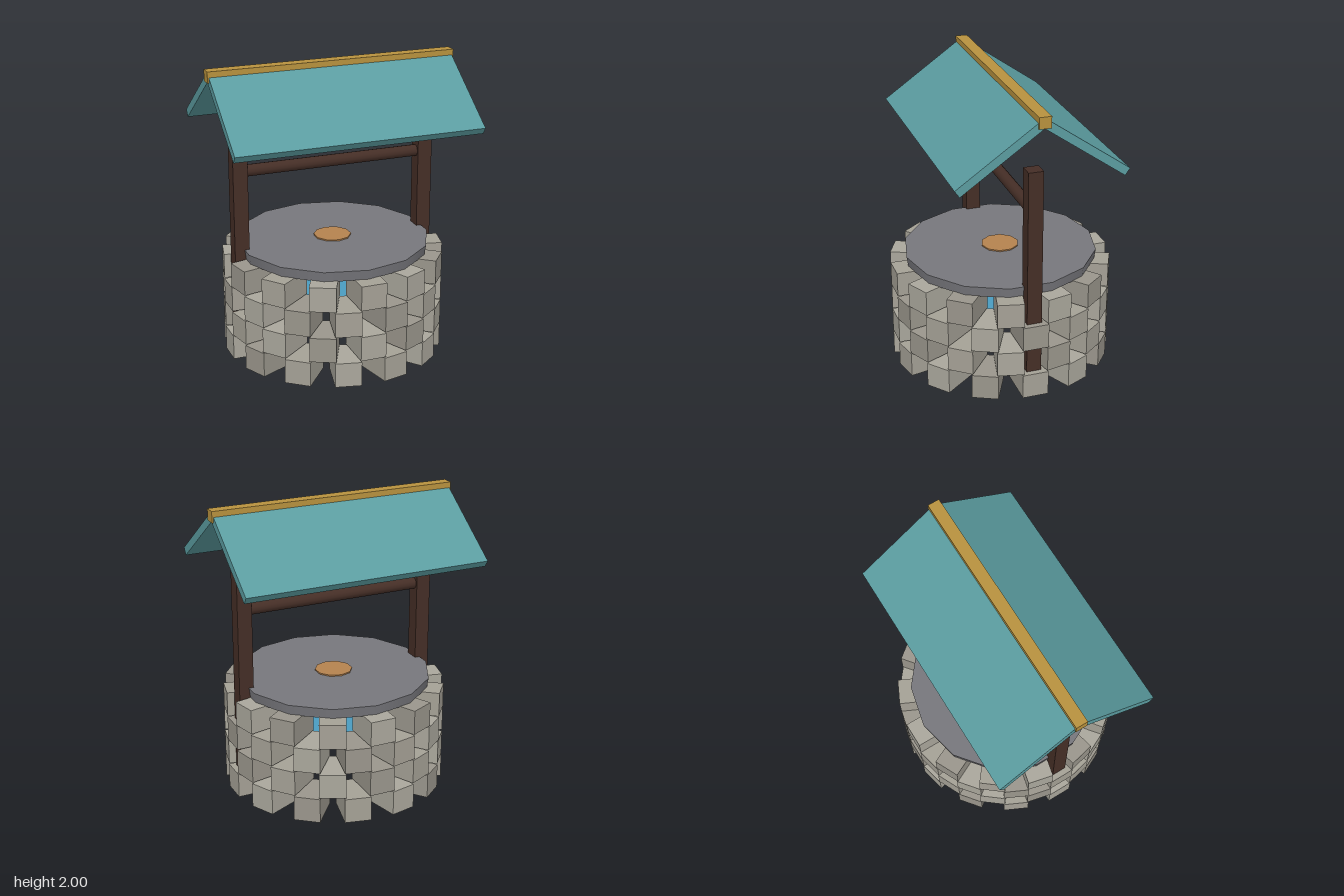
import * as THREE from 'three';

const mat = (color, extra = {}) => new THREE.MeshStandardMaterial({ color, ...extra });

export function createModel() {
  const well = new THREE.Group();
  well.name = 'well';

  const add = (name, geometry, material, x = 0, y = 0, z = 0, parent = well) => {
    const mesh = new THREE.Mesh(geometry, material);
    mesh.name = name;
    mesh.position.set(x, y, z);
    parent.add(mesh);
    return mesh;
  };

  // Stone wall: four rings of blocks, every other ring turned by half a block
  const COUNT = 14;
  const stoneGeo = new THREE.BoxGeometry(0.175, 0.168, 0.27);
  const stoneMats = [0xa5a196, 0x9a968c, 0xaaa79c].map((c) => mat(c));
  for (let row = 0; row < 4; row++) {
    const ring = new THREE.Group();
    ring.name = 'stoneRing' + (row + 1);
    well.add(ring);
    for (let i = 0; i < COUNT; i++) {
      const a = ((i + (row % 2 ? 0 : 0.5)) / COUNT) * Math.PI * 2;
      const stone = add('stone', stoneGeo, stoneMats[(i * 5 + row * 2) % 3],
        Math.sin(a) * 0.61, 0.094 + row * 0.177, Math.cos(a) * 0.61, ring);
      stone.rotation.y = a;
    }
  }

  // Water surface inside the wall
  add('water', new THREE.CylinderGeometry(0.54, 0.54, 0.018, 28), mat(0x4a9cc0), 0, 0.461, 0);

  // Lid resting on the wall, with a vertex towards the front
  add('lid', new THREE.CylinderGeometry(0.655, 0.645, 0.07, COUNT), mat(0x77777c), 0, 0.74, 0);

  // Bucket set into the middle of the lid
  add('bucket', new THREE.CylinderGeometry(0.127, 0.1, 0.165, 10), mat(0xb5834f), 0, 0.7025, 0);

  // Posts and the beam between them
  const wood = mat(0x452e26);
  const postGeo = new THREE.BoxGeometry(0.1, 1.59, 0.1);
  for (const side of [1, -1]) {
    add(side > 0 ? 'leftPost' : 'rightPost', postGeo, wood, side * 0.655, 0.795, 0);
  }
  const beam = add('crossBeam', new THREE.CylinderGeometry(0.04, 0.04, 1.22, 12), wood, 0, 1.31, 0);
  beam.rotation.z = Math.PI / 2;

  // Roof: two sloping boards, the second one turned around
  const roofMat = mat(0x5b9ca0);
  const outer = [0.56, 1.598]; // upper corner of the eave, as z and y
  const pitch = 0.61, length = 0.66, thickness = 0.055;
  const boardGeo = new THREE.BoxGeometry(1.68, thickness, length);
  const cos = Math.cos(pitch), sin = Math.sin(pitch);
  const z = outer[0] - cos * length / 2 - sin * thickness / 2;
  const y = outer[1] + sin * length / 2 - cos * thickness / 2;
  for (const side of [1, -1]) {
    const board = add(side > 0 ? 'frontRoof' : 'backRoof', boardGeo, roofMat, 0, y, side * z);
    board.rotation.x = side * pitch;
  }

  // Ridge beam
  add('ridge', new THREE.BoxGeometry(1.7, 0.075, 0.08), mat(0xb8923e), 0, 1.9625, 0);

  return well;
}
